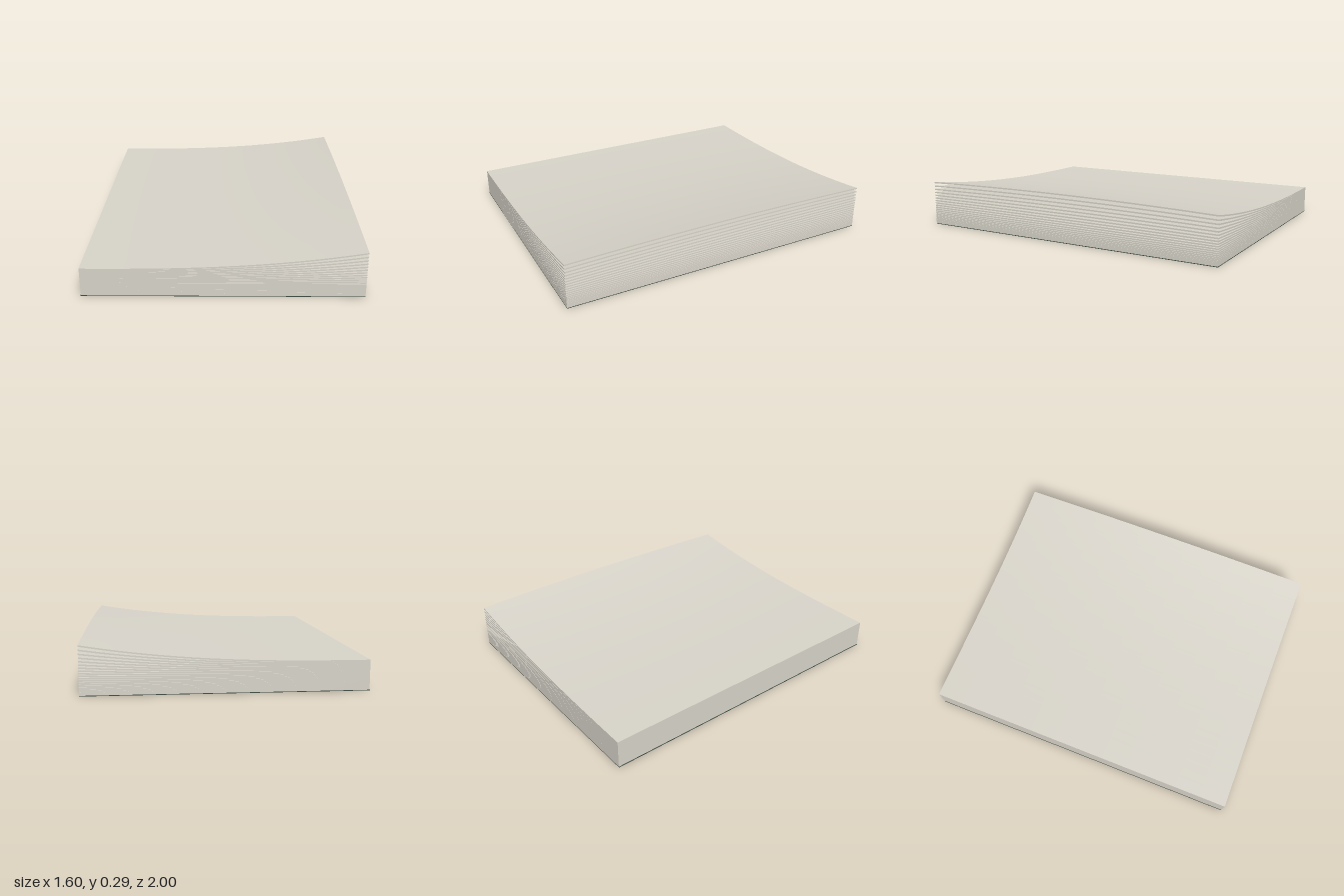
import * as THREE from 'three';

const SHEETS = 20, BASE = 0.004, TOP = 0.174;
const PITCH = (TOP - BASE) / SHEETS;

export function createModel() {
  const paper = new THREE.MeshStandardMaterial({ color: 0xd6d2c8 });
  paper.name = 'warm grey paper';
  const board = new THREE.MeshStandardMaterial({ color: 0x3e4b40 });
  board.name = 'dark green board';

  const model = new THREE.Group();
  model.name = 'paperPad';
  const add = (name, geometry, material, x, y, z) => {
    const mesh = new THREE.Mesh(geometry, material);
    mesh.name = name;
    mesh.position.set(x, y, z);
    model.add(mesh);
  };

  // Backing board under the stack
  add('backingBoard', new THREE.BoxGeometry(1.6, BASE, 2), board, 0, BASE / 2, 0);

  // Glued binding strip along the straight edge
  add('bindingStrip', new THREE.BoxGeometry(0.005, TOP - BASE, 2), paper,
    -0.795, (TOP + BASE) / 2, 0);

  // Sheets: each one curls up more than the one below, most at mid-length
  for (let i = 0; i < SHEETS; i++) {
    const geometry = new THREE.BoxGeometry(1.594, PITCH, 2, 24, 1, 12);
    const lift = 0.121 * Math.pow(i / (SHEETS - 1), 2.8);
    const pos = geometry.attributes.position;
    for (let v = 0; v < pos.count; v++) {
      const t = Math.max(0, (pos.getX(v) + 0.797) / 1.594);
      const z = pos.getZ(v);
      pos.setY(v, pos.getY(v) + lift * Math.pow(t, 2.6) * (1 - 0.13 * z * z));
    }
    geometry.computeVertexNormals();
    add('sheet' + (i + 1), geometry, paper, 0.003, BASE + PITCH * (i + 0.5), 0);
  }
  return model;
}
